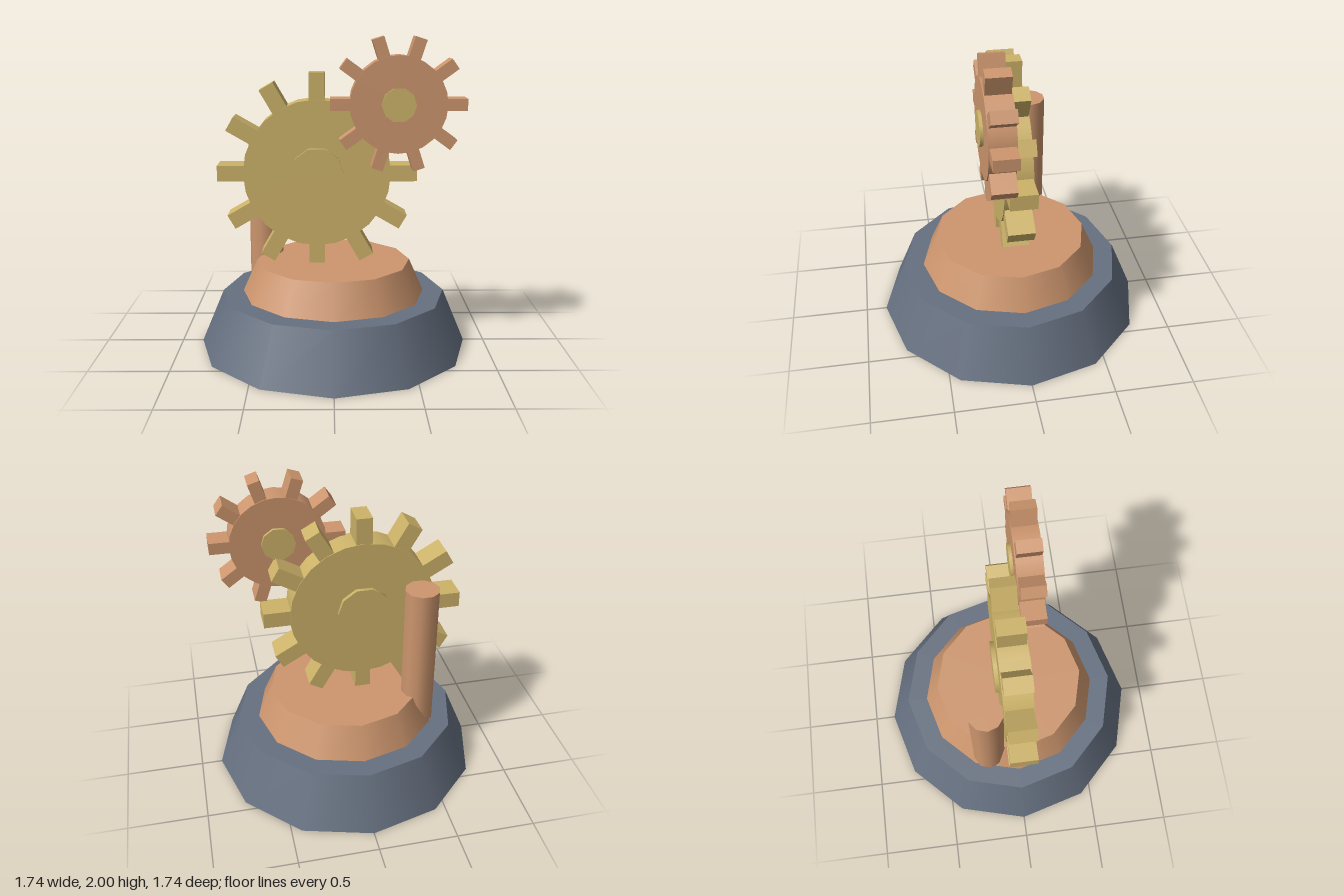
import * as THREE from 'three';

const mat = (name, color, side = THREE.FrontSide) => {
  const m = new THREE.MeshStandardMaterial({ color, side });
  m.name = name;
  return m;
};

export function createModel() {
  const slate = mat('slate', 0x667080, THREE.DoubleSide);
  const copper = mat('copper', 0xcd966e, THREE.DoubleSide);
  const brass = mat('brass', 0xcdb369);

  const model = new THREE.Group();
  model.name = 'gearMachine';

  const add = (parent, name, geometry, material, x = 0, y = 0, z = 0) => {
    const mesh = new THREE.Mesh(geometry, material);
    mesh.name = name;
    mesh.position.set(x, y, z);
    parent.add(mesh);
    return mesh;
  };

  // Tapered twelve-sided tier: sloping wall and lid, open underneath
  const tier = (name, rBottom, rTop, y0, y1, material) => {
    const g = new THREE.Group();
    g.name = name;
    const wall = new THREE.CylinderGeometry(rTop, rBottom, y1 - y0, 12, 1, true);
    add(g, name + 'Wall', wall, material, 0, (y0 + y1) / 2);
    add(g, name + 'Lid', new THREE.CircleGeometry(rTop, 12).rotateX(-Math.PI / 2), material, 0, y1);
    model.add(g);
  };
  tier('base', 0.868, 0.722, 0, 0.35, slate);
  tier('plinth', 0.592, 0.496, 0.345, 0.561, copper);

  // Upright post at the back
  add(model, 'post', new THREE.CylinderGeometry(0.11, 0.11, 0.965, 10, 1, false, Math.PI / 2),
    copper, -0.447, 0.8375, -0.197);

  // Disc lying in the xy plane with a corner on the x axis
  const disc = (r, depth, sides) =>
    new THREE.CylinderGeometry(r, r, depth, sides, 1, false, Math.PI / 2).rotateX(Math.PI / 2);

  // Gear: wheel, hub and a ring of block teeth
  const gear = (name, p, pos) => {
    const g = new THREE.Group();
    g.name = name;
    g.position.set(...pos);
    add(g, 'wheel', disc(p.r, p.depth, 24), p.material);
    add(g, 'hub', disc(p.hubR, p.hubDepth, 10), brass);
    const inner = p.r - 0.04;
    const tooth = new THREE.BoxGeometry(p.tip - inner, p.toothWidth, p.toothDepth);
    tooth.translate((p.tip + inner) / 2, 0, 0);
    for (let i = 0; i < p.teeth; i++) {
      add(g, 'tooth', tooth, p.material).rotation.z = (i / p.teeth) * Math.PI * 2;
    }
    model.add(g);
  };
  gear('largeGear', {
    r: 0.466, depth: 0.18, hubR: 0.168, hubDepth: 0.232, teeth: 12,
    tip: 0.63, toothWidth: 0.1, toothDepth: 0.17, material: brass,
  }, [-0.103, 1.146, 0]);
  gear('smallGear', {
    r: 0.297, depth: 0.16, hubR: 0.106, hubDepth: 0.2, teeth: 10,
    tip: 0.417, toothWidth: 0.074, toothDepth: 0.148, material: copper,
  }, [0.395, 1.592, 0.148]);

  return model;
}
